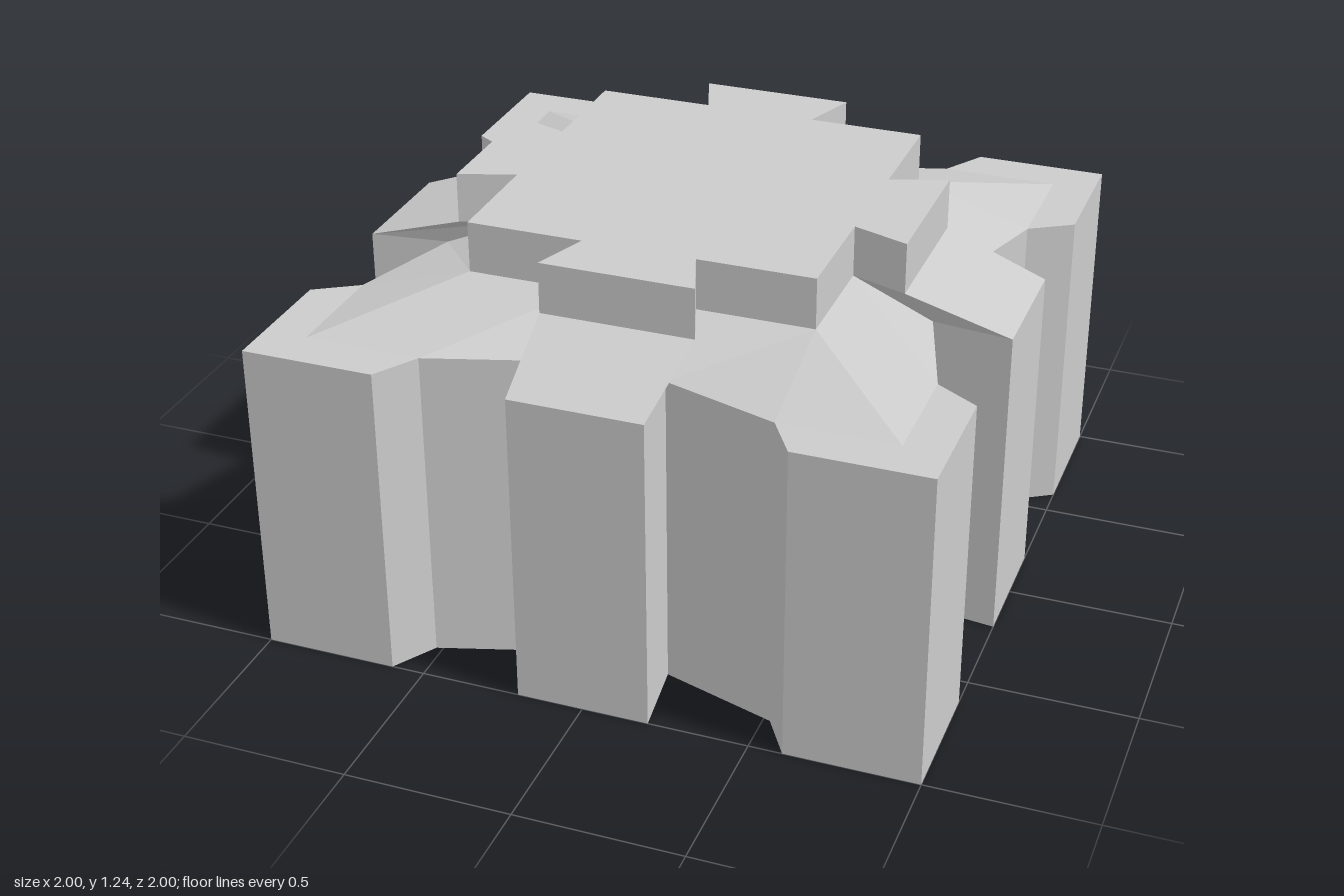
import * as THREE from 'three';

const BODY_TOP = 0.975, CAP_BASE = 1.08, CAP_TOP = 1.235;

// One quarter of each outline as [x, z], running from the +z tab to the +x tab
const BODY = [[0.2, 1], [0.17, 0.76], [0.52, 0.87], [0.6, 1], [1, 1], [1, 0.6], [0.87, 0.52], [0.76, 0.17], [1, 0.2]];
const CAP = [[0.23, 0.69], [0.17, 0.52], [0.52, 0.52], [0.52, 0.17], [0.69, 0.23]];
const SLOPE_LOW = [[0.2, 1], [0.17, 0.76], [0.52, 0.87], [0.87, 0.87], [0.87, 0.52], [0.76, 0.17], [1, 0.2]];
const SLOPE_HIGH = [[0.23, 0.69], [0.17, 0.52], [0.52, 0.52], [0.52, 0.52], [0.52, 0.52], [0.52, 0.17], [0.69, 0.23]];

// Repeat a quarter outline four times around the y axis
function fullRing(quarter) {
  const ring = [];
  let part = quarter;
  for (let i = 0; i < 4; i++) {
    ring.push(...part);
    part = part.map(([x, z]) => [z, -x]);
  }
  return ring;
}

// Upright prism over an outline
function prism(quarter, y0, y1) {
  const shape = new THREE.Shape(fullRing(quarter).map(([x, z]) => new THREE.Vector2(x, -z)));
  const geo = new THREE.ExtrudeGeometry(shape, { depth: y1 - y0, bevelEnabled: false });
  return geo.rotateX(-Math.PI / 2).translate(0, y0, 0);
}

// Sloped band joining a low ring to a high ring
function slopedBand(lowQuarter, highQuarter, y0, y1) {
  const low = fullRing(lowQuarter).map(([x, z]) => [x, y0, z]);
  const high = fullRing(highQuarter).map(([x, z]) => [x, y1, z]);
  const same = (a, b) => a.every((v, k) => v === b[k]);
  const pos = [];
  low.forEach((a, i) => {
    const j = (i + 1) % low.length;
    pos.push(...a, ...low[j], ...high[j]);
    if (!same(high[i], high[j])) pos.push(...a, ...high[j], ...high[i]);
  });
  const geo = new THREE.BufferGeometry();
  geo.setAttribute('position', new THREE.Float32BufferAttribute(pos, 3));
  geo.computeVertexNormals();
  return geo;
}

export function createModel() {
  const group = new THREE.Group();
  group.name = 'notchedBlock';
  const material = new THREE.MeshStandardMaterial({ color: 0xcccccc, flatShading: true, side: THREE.DoubleSide });
  const add = (name, geo) => {
    const mesh = new THREE.Mesh(geo, material);
    mesh.name = name;
    group.add(mesh);
  };

  // Straight-walled base with corner blocks and side tabs
  add('body', prism(BODY, 0, BODY_TOP));
  // Roof slopes rising to the cap
  add('slopedShoulder', slopedBand(SLOPE_LOW, SLOPE_HIGH, BODY_TOP, CAP_BASE));
  // Raised flat cap
  add('cap', prism(CAP, CAP_BASE, CAP_TOP));

  return group;
}
